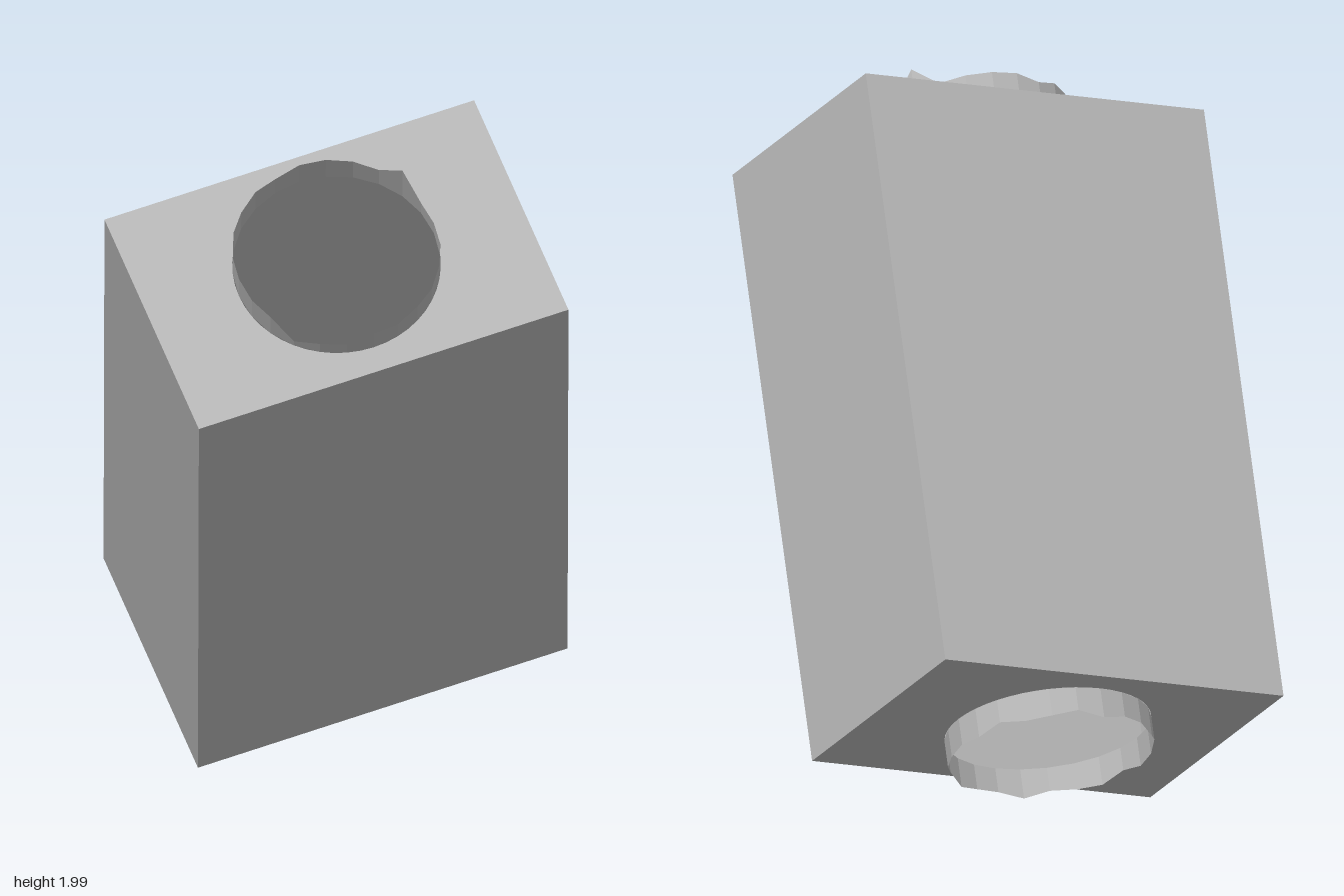
import * as THREE from 'three';

const W = 1.062, H = 1.712, D = 0.71, R = 0.28, SEG = 24;

export function createModel() {
  const grey = new THREE.MeshStandardMaterial({ color: 0xb4b4b4, side: THREE.DoubleSide });
  grey.name = 'plain grey';
  grey.flatShading = true;

  const model = new THREE.Group();
  model.name = 'hollowBlock';
  const body = new THREE.Group();
  body.name = 'tiltedBody';
  model.add(body);

  const add = (name, geometry) => {
    const mesh = new THREE.Mesh(geometry, grey);
    mesh.name = name;
    body.add(mesh);
    return mesh;
  };

  // Four thin side walls
  for (const s of [1, -1]) {
    const turn = s > 0 ? 0 : Math.PI;
    add(s > 0 ? 'frontWall' : 'backWall',
      new THREE.PlaneGeometry(W, H).translate(0, 0, D / 2).rotateY(turn));
    add(s > 0 ? 'leftWall' : 'rightWall',
      new THREE.PlaneGeometry(D, H).translate(0, 0, W / 2).rotateY(turn + Math.PI / 2));
  }

  // End plate with a round opening
  const plate = new THREE.Shape();
  plate.moveTo(-W / 2, -D / 2);
  plate.lineTo(W / 2, -D / 2);
  plate.lineTo(W / 2, D / 2);
  plate.lineTo(-W / 2, D / 2);
  plate.closePath();
  plate.holes.push(new THREE.Path().absarc(0, 0, R, 0, Math.PI * 2, true));

  // Open collar whose outer rim follows a list of heights
  const collar = (heights) => {
    const geo = new THREE.CylinderGeometry(R, R, 1, SEG, 1, true);
    const p = geo.attributes.position;
    for (let i = 0; i < p.count; i++) {
      const a = Math.atan2(p.getZ(i), p.getX(i));
      const k = (Math.round(a / (Math.PI * 2) * SEG) + SEG) % SEG;
      p.setY(i, p.getY(i) > 0 ? heights[k] : 0);
    }
    geo.computeVertexNormals();
    return geo.translate(0, H / 2, 0);
  };

  // Ragged rims, every 15 degrees
  const topRim = [0.05, 0.06, 0.07, 0.06, 0.07, 0.06, 0.07, 0.04, 0.04, 0.02, 0.08, 0.08,
    0.085, 0.08, 0.09, 0.08, 0.085, 0.07, 0.085, 0.085, 0.08, 0.07, 0.13, 0.05];
  const bottomRim = topRim.map((_, i) => 0.075 + 0.01 * Math.sin(i * 2.3));

  add('topPlate', new THREE.ShapeGeometry(plate, 24).rotateX(-Math.PI / 2).translate(0, H / 2, 0));
  add('bottomPlate', new THREE.ShapeGeometry(plate, 24).rotateX(Math.PI / 2).translate(0, -H / 2, 0));
  add('topCollar', collar(topRim));
  add('bottomCollar', collar(bottomRim).rotateX(Math.PI));

  // Lean the whole block
  const x = new THREE.Vector3(0.783, 0.212, -0.585).normalize();
  const y = new THREE.Vector3(0.202, 0.802, 0.562);
  y.addScaledVector(x, -x.dot(y)).normalize();
  const z = new THREE.Vector3().crossVectors(x, y);
  body.quaternion.setFromRotationMatrix(new THREE.Matrix4().makeBasis(x, y, z));
  body.position.y = 1;
  return model;
}
